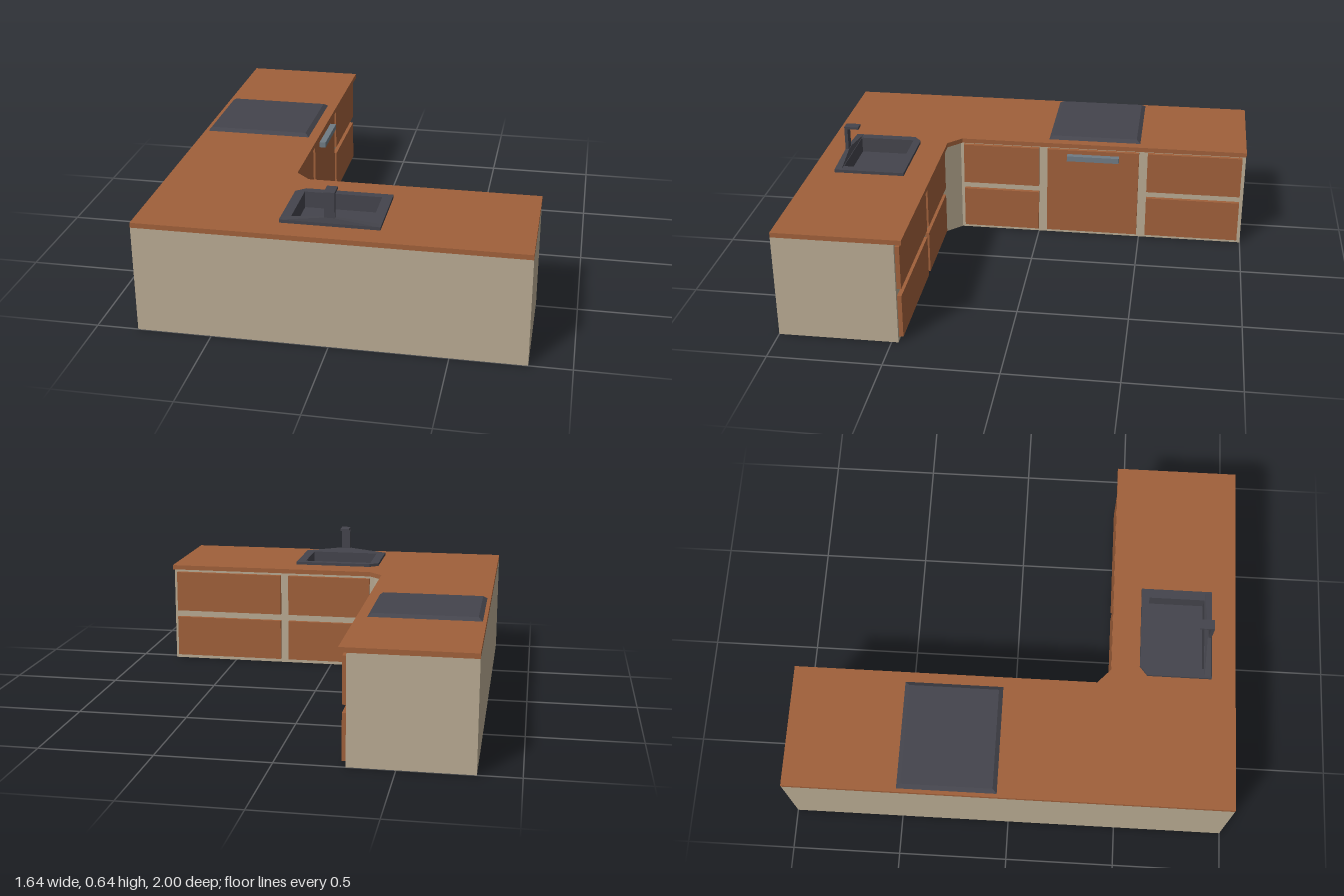
import * as THREE from 'three';

const mat = (color) => new THREE.MeshStandardMaterial({ color, flatShading: true });

export function createModel() {
  const model = new THREE.Group();
  model.name = 'cornerKitchen';
  const beige = mat(0xb8aa92), wood = mat(0xa0603a), dark = mat(0x44444c), steel = mat(0x6f7b84);

  const add = (name, geometry, material, parent = model) => {
    const mesh = new THREE.Mesh(geometry, material);
    mesh.name = name;
    parent.add(mesh);
    return mesh;
  };
  const points = (list) => list.map(([x, z]) => new THREE.Vector2(x, z));
  const rect = (x0, x1, z0, z1) => [[x0, z0], [x1, z0], [x1, z1], [x0, z1]];

  // Horizontal slab from an outline in x and z, with an optional hole
  const slab = (outline, y0, y1, hole) => {
    const shape = new THREE.Shape(points(outline));
    if (hole) shape.holes.push(new THREE.Path(points(hole)));
    return new THREE.ExtrudeGeometry(shape, { depth: y1 - y0, bevelEnabled: false })
      .rotateX(Math.PI / 2).translate(0, y1, 0);
  };
  const block = (x0, x1, y0, y1, z0, z1) =>
    new THREE.BoxGeometry(x1 - x0, y1 - y0, z1 - z0)
      .translate((x0 + x1) / 2, (y0 + y1) / 2, (z0 + z1) / 2);
  // Block whose top rectangle differs from its bottom one
  const taper = (bottom, top, y0, y1) => {
    const g = new THREE.BoxGeometry(1, 1, 1), p = g.attributes.position;
    for (let i = 0; i < p.count; i++) {
      const r = p.getY(i) > 0 ? top : bottom;
      p.setXYZ(i, p.getX(i) > 0 ? r[1] : r[0], p.getY(i) > 0 ? y1 : y0, p.getZ(i) > 0 ? r[3] : r[2]);
    }
    g.computeVertexNormals();
    return g;
  };
  // L-shaped outline with a cut inner corner
  const corner = (x, z0, x1, z) =>
    [[-0.82, -1], [x, -1], [x, z0], [x1, z], [0.82, z], [0.82, 1], [-0.82, 1]];

  // Cabinet body, opened at the top for the basin
  const well = rect(-0.195, 0.17, 0.585, 0.87);
  const carcass = corner(-0.298, 0.39, -0.218, 0.47);
  add('cabinetBody', slab(carcass, 0, 0.43), beige);
  add('cabinetUpperBody', slab(carcass, 0.43, 0.475, well), beige);
  add('worktop', slab(corner(-0.265, 0.375, -0.2, 0.437), 0.475, 0.497, well), wood);

  // Drawer fronts, two rows on each run
  const fronts = new THREE.Group();
  fronts.name = 'drawerFronts';
  model.add(fronts);
  for (const [y0, y1] of [[0.02, 0.222], [0.256, 0.458]]) {
    for (const [z0, z1] of [[0, 0.372], [-0.983, -0.53]])
      add('longRunDrawer', block(-0.3, -0.279, y0, y1, z0, z1), wood, fronts);
    for (const [x0, x1] of [[-0.195, 0.22], [0.26, 0.803]])
      add('shortRunDrawer', block(x0, x1, y0, y1, 0.451, 0.472), wood, fronts);
  }

  // Oven door and handle
  add('ovenDoor', block(-0.3, -0.279, 0.02, 0.458, -0.488, -0.042), wood);
  add('ovenHandle', block(-0.28, -0.25, 0.412, 0.438, -0.392, -0.14), steel);

  // Hob with sloped edges
  add('hob', taper([-0.805, -0.31, -0.492, -0.046], [-0.785, -0.33, -0.472, -0.066], 0.496, 0.511), dark);

  // Sink
  const sink = new THREE.Group();
  sink.name = 'sink';
  model.add(sink);
  const bowl = rect(-0.18, 0.155, 0.6, 0.855);
  const rim = [[-0.18, 0.565], [0.198, 0.565], [0.198, 0.89], [-0.222, 0.89], [-0.222, 0.6]];
  add('sinkRim', slab(rim, 0.496, 0.511, bowl), dark, sink);
  add('basinWalls', slab(well, 0.432, 0.497, bowl), dark, sink);
  add('basinFloor', block(-0.19, 0.165, 0.431, 0.438, 0.59, 0.865), dark, sink);

  // Tap on a ridge that rises to the middle
  add('tapRidge', taper([-0.222, 0.198, 0.857, 0.89], [-0.035, 0.01, 0.868, 0.885], 0.51, 0.533), dark, sink);
  add('tapPost', block(-0.035, 0.01, 0.53, 0.645, 0.87, 0.885), dark, sink);
  add('tapSpout', block(-0.035, 0.01, 0.634, 0.645, 0.818, 0.871), dark, sink);

  return model;
}
